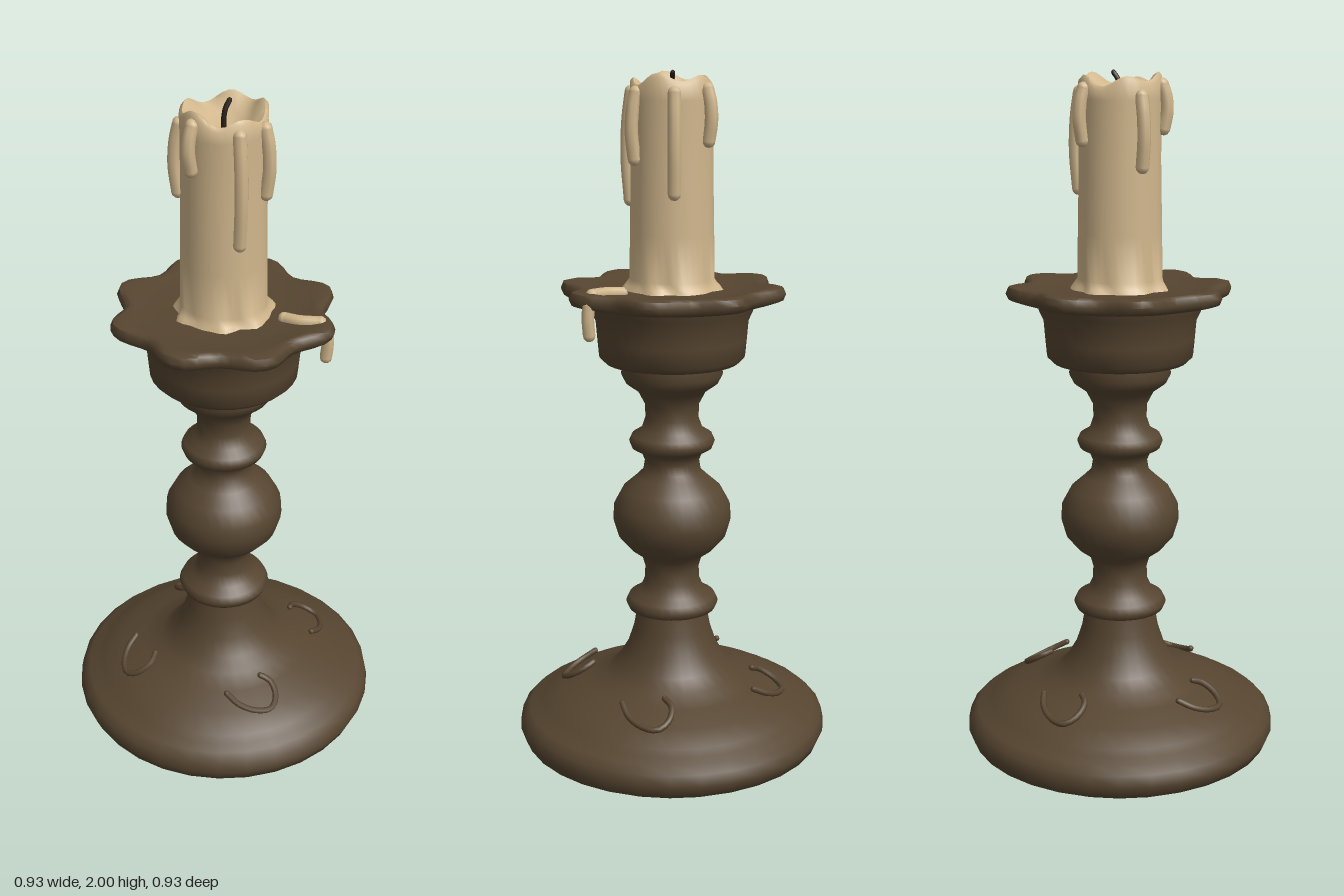
import * as THREE from 'three';
import { mergeVertices, toCreasedNormals } from 'three/addons/utils/BufferGeometryUtils.js';

const material = (name, color) => Object.assign(new THREE.MeshStandardMaterial({ color }), { name });

// Lathe from [radius, y] pairs, with an optional rule that moves each vertex
function turned(profile, segments, rule, crease = 0.9) {
  let geo = new THREE.LatheGeometry(profile.map(([r, y]) => new THREE.Vector2(r, y)), segments);
  const p = geo.attributes.position;
  if (rule) {
    const v = new THREE.Vector3();
    for (let i = 0; i < p.count; i++) {
      v.fromBufferAttribute(p, i);
      rule(v, Math.atan2(v.z, v.x), Math.hypot(v.x, v.z));
      p.setXYZ(i, v.x, v.y, v.z);
    }
  }
  geo.deleteAttribute('uv');
  geo.deleteAttribute('normal');
  geo = mergeVertices(geo, 1e-5);
  return toCreasedNormals(geo, crease);
}

export function createModel() {
  const model = new THREE.Group();
  model.name = 'candlestick';
  const bronze = material('agedBronze', 0x564530);
  const wax = material('wax', 0xd0b68c);
  const char = material('charredWick', 0x2a2018);

  const add = (name, geo, mat, parent = model) => {
    const mesh = new THREE.Mesh(geo, mat);
    mesh.name = name;
    parent.add(mesh);
    return mesh;
  };

  // Round-ended tube through [x, y, z] points
  const rod = (name, points, radius, mat, parent = model, sides = 8) => {
    const group = new THREE.Group();
    group.name = name;
    const pts = points.map((q) => new THREE.Vector3(...q));
    const curve = new THREE.CatmullRomCurve3(pts);
    add(name + 'Body', new THREE.TubeGeometry(curve, 16, radius, sides), mat, group);
    for (const end of [pts[0], pts[pts.length - 1]])
      add(name + 'End', new THREE.SphereGeometry(radius, sides, 6), mat, group).position.copy(end);
    parent.add(group);
    return group;
  };

  // Foot, baluster stem and cup
  add('baseAndStem', turned([
    [0, 0], [0.42, 0.003], [0.45, 0.02], [0.465, 0.055], [0.458, 0.09], [0.435, 0.112], [0.41, 0.12],
    [0.39, 0.138], [0.33, 0.168], [0.26, 0.194], [0.2, 0.217], [0.165, 0.25], [0.135, 0.3], [0.115, 0.36],
    [0.105, 0.415], [0.13, 0.422], [0.138, 0.44], [0.128, 0.46], [0.098, 0.475], [0.082, 0.51],
    [0.08, 0.55], [0.09, 0.585], [0.125, 0.61], [0.16, 0.65], [0.175, 0.7], [0.172, 0.745],
    [0.145, 0.795], [0.105, 0.83], [0.085, 0.85], [0.08, 0.88], [0.09, 0.905], [0.118, 0.92],
    [0.126, 0.94], [0.118, 0.958], [0.09, 0.975], [0.078, 1.01], [0.079, 1.05], [0.1, 1.09],
    [0.135, 1.115], [0.148, 1.14], [0.146, 1.175], [0.195, 1.178], [0.212, 1.195], [0.217, 1.25],
    [0.221, 1.3], [0.235, 1.33], [0.245, 1.362],
  ], 32), bronze);

  // Scalloped drip pan with eight lobes
  add('dripPan', turned([
    [0.2, 1.34], [0.25, 1.357], [0.3, 1.355], [0.322, 1.362], [0.33, 1.38], [0.322, 1.398],
    [0.3, 1.403], [0.26, 1.396], [0.18, 1.39], [0, 1.39],
  ], 64, (v, a, r) => {
    const w = THREE.MathUtils.smoothstep(r, 0.22, 0.32);
    const s = 1 - w * 0.075 * (1 - Math.cos(8 * a));
    v.x *= s;
    v.z *= s;
    v.y += w * 0.004 * Math.cos(8 * a);
  }), bronze);

  // Raised curl on each side of the foot
  const curl = [[-0.09, 0.207], [-0.065, 0.186], [-0.02, 0.17], [0.03, 0.167], [0.057, 0.185], [0.054, 0.21], [0.03, 0.222]]
    .map(([x, y]) => [x, y + 0.004, 0.335 - (y - 0.167) * 1.7]);
  for (let i = 0; i < 4; i++)
    rod('footCurl', curl, 0.009, bronze).rotation.y = i * Math.PI / 2;

  // Candle with a melted, uneven rim and a hollow top
  add('candle', turned([
    [0.14, 1.388], [0.13, 1.403], [0.122, 1.42], [0.12, 1.55], [0.116, 1.75], [0.116, 1.92],
    [0.117, 1.966], [0.108, 1.976], [0.095, 1.968], [0.07, 1.938], [0.035, 1.92], [0, 1.915],
  ], 40, (v, a, r) => {
    if (v.y > 1.95) v.y += 0.012 * Math.sin(5 * a + 0.6) + 0.008 * Math.sin(2 * a + 2);
    if (v.y < 1.41) {
      const s = 1 + 0.05 * Math.sin(7 * a) + 0.03 * Math.sin(11 * a);
      v.x *= s;
      v.z *= s;
    }
  }, 1.2), wax);

  // Wax runs: [x, z, top, bottom]
  const runs = [
    [0, 0.124, 1.94, 1.64], [-0.113, 0.055, 1.96, 1.84], [-0.113, -0.055, 1.93, 1.74],
    [0.05, -0.116, 1.95, 1.81], [0.123, -0.033, 1.94, 1.67], [0.088, 0.09, 1.94, 1.76],
  ];
  for (const [x, z, top, bottom] of runs) {
    const at = (t, k) => [x * k, top + (bottom - top) * t, z * k];
    rod('waxRun', [at(0, 0.94), at(0.25, 1.02), at(0.6, 1.05), at(1, 0.98)], 0.019, wax);
  }

  // Spilled wax across the pan, and the drop hanging below its edge
  rod('panSpill', [[0.135, 1.393, 0.115], [0.165, 1.396, 0.15], [0.215, 1.398, 0.18]], 0.018, wax);
  rod('hangingDrop', [[0.235, 1.37, 0.185], [0.237, 1.33, 0.186], [0.234, 1.288, 0.184]], 0.018, wax);

  // Wick
  rod('wick', [[0, 1.91, 0], [0, 1.95, 0], [0.006, 1.975, -0.002], [0.018, 1.993, -0.006]], 0.007, char, model, 6);

  return model;
}
